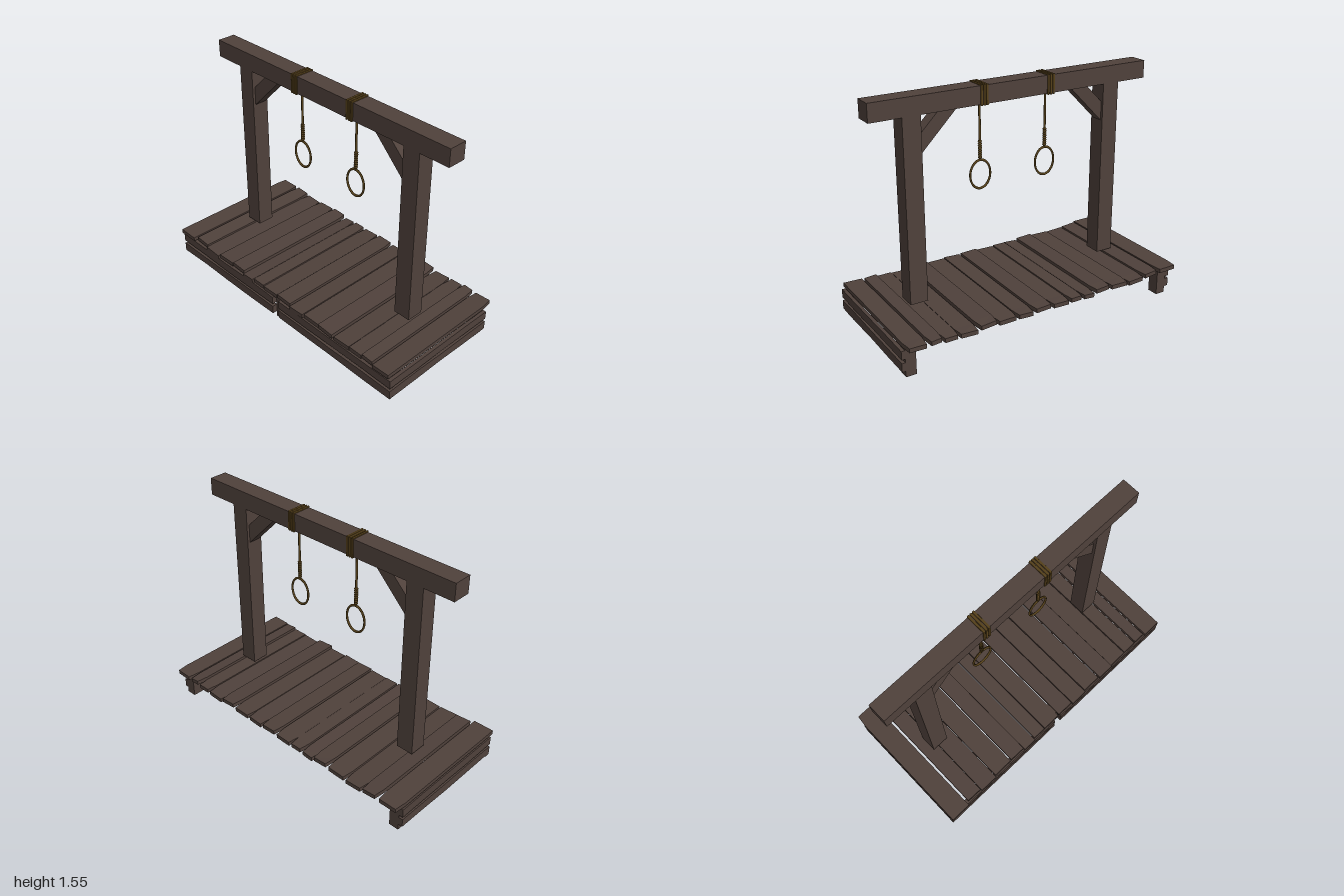
import * as THREE from 'three';

export function createModel() {
  const model = new THREE.Group();
  model.name = 'timberFrame';
  const wood = new THREE.MeshStandardMaterial({ color: 0x4f413b, flatShading: true });
  wood.name = 'dark wood';
  const rope = new THREE.MeshStandardMaterial({ color: 0x55401a });
  rope.name = 'rope brown';

  let seed = 7;
  const jitter = (a) => {
    seed = (seed * 16807) % 2147483647;
    return (seed / 2147483647 - 0.5) * 2 * a;
  };

  const add = (name, geo, mat = wood, parent = model) => {
    const mesh = new THREE.Mesh(geo, mat);
    mesh.name = name;
    parent.add(mesh);
    return mesh;
  };
  // Box given by its minimum and maximum on each axis
  const box = (name, x0, x1, y0, y1, z0, z1, parent = model) => {
    const g = new THREE.BoxGeometry(x1 - x0, y1 - y0, z1 - z0);
    g.translate((x0 + x1) / 2, (y0 + y1) / 2, (z0 + z1) / 2);
    return add(name, g, wood, parent);
  };
  const group = (name) => {
    const g = new THREE.Group();
    g.name = name;
    model.add(g);
    return g;
  };

  // Deck planks: left edge, right edge, front end, top height, sideways tilt
  const deck = group('deck');
  const planks = [
    [-1.0, -0.858, 0.48, 0.224, 0], [-0.842, -0.732, 0.457, 0.223, -0.004],
    [-0.728, -0.598, 0.468, 0.206, -0.003], [-0.594, -0.455, 0.457, 0.214, 0.002],
    [-0.447, -0.333, 0.457, 0.223, -0.003], [-0.329, -0.236, 0.468, 0.205, 0.003],
    [-0.229, -0.135, 0.457, 0.213, 0], [-0.13, -0.003, 0.457, 0.21, 0.002],
    [0.006, 0.126, 0.457, 0.219, -0.002], [0.133, 0.252, 0.468, 0.21, 0.003],
    [0.258, 0.39, 0.457, 0.212, 0], [0.396, 0.517, 0.468, 0.223, -0.004],
    [0.523, 0.652, 0.457, 0.205, 0.003], [0.657, 0.757, 0.457, 0.212, 0],
    [0.763, 0.845, 0.457, 0.223, -0.003], [0.858, 0.985, 0.468, 0.218, 0.002],
  ];
  planks.forEach(([x0, x1, z1, top, tilt]) => {
    const z0 = -0.482, w = x1 - x0, len = z1 - z0;
    const g = new THREE.BoxGeometry(w, 0.028, len, 1, 1, 12);
    const p = g.attributes.position;
    for (let i = 0; i < p.count; i++) {
      const s = Math.sign(p.getX(i));
      // narrow the rear tip
      if (p.getZ(i) < -len / 2 + 0.01) p.setX(i, s * (w / 2 - 0.009));
      p.setY(i, p.getY(i) + s * tilt);
    }
    g.translate((x0 + x1) / 2, top - 0.014, (z0 + z1) / 2);
    add('plank', g, wood, deck);
  });

  // Short legs under the deck
  const legs = group('legs');
  for (const [x, z] of [[-0.937, 0.39], [-0.937, -0.38], [0.943, 0.39], [0.943, -0.38], [-0.007, 0.39]]) {
    box('leg', x - 0.034, x + 0.034, 0, 0.205, z - 0.04, z + 0.04, legs);
  }

  // Slightly uneven skirt boards on the front and both ends
  const skirt = group('skirt');
  const board = (x0, x1, y0, y1, z0, z1) => {
    const w = x1 - x0, d = z1 - z0, alongX = w > d;
    const n = 4;
    const g = new THREE.BoxGeometry(w, y1 - y0, d, alongX ? n : 1, 1, alongX ? 1 : n);
    const shifts = Array.from({ length: 2 * (n + 1) }, () => jitter(0.004));
    const p = g.attributes.position;
    for (let i = 0; i < p.count; i++) {
      const t = alongX ? p.getX(i) / w : p.getZ(i) / d;
      const k = Math.round((t + 0.5) * n) + (p.getY(i) > 0 ? n + 1 : 0);
      p.setY(i, p.getY(i) + shifts[k]);
    }
    g.translate((x0 + x1) / 2, (y0 + y1) / 2, (z0 + z1) / 2);
    add('skirtBoard', g, wood, skirt);
  };
  for (const [y0, y1] of [[0.04, 0.099], [0.12, 0.179]]) {
    board(-1.0, -0.037, y0, y1, 0.43, 0.465);
    board(0.02, 1.0, y0, y1, 0.43, 0.465);
    board(-1.0, -0.971, y0, y1, -0.42, 0.43);
    board(0.977, 1.0, y0, y1, -0.42, 0.43);
  }

  // Uprights and top beam
  box('rightPost', -0.775, -0.657, 0.24, 1.426, -0.066, 0.05);
  box('leftPost', 0.645, 0.763, 0.24, 1.426, -0.066, 0.05);
  box('topBeam', -0.983, 0.97, 1.425, 1.54, -0.07, 0.053);

  // Diagonal braces, mirrored about the middle of the frame
  for (const s of [-1, 1]) {
    const x = (d) => -0.006 + s * d;
    const pts = [[0.652, 1.305], [0.652, 1.18], [0.407, 1.426], [0.53, 1.426]];
    const shape = new THREE.Shape(pts.map(([d, y]) => new THREE.Vector2(x(d), y)));
    const g = new THREE.ExtrudeGeometry(shape, { depth: 0.08, bevelEnabled: false });
    g.translate(0, 0, -0.048);
    add(s < 0 ? 'rightBrace' : 'leftBrace', g);
  }

  // Rope bindings, hanging ropes and loops
  for (const x of [-0.244, 0.229]) {
    const hanging = group('hangingRope');
    hanging.position.set(x, 0, -0.008);

    const outline = (w, h) => [[-w, -h], [w, -h], [w, h], [-w, h]].map(([a, b]) => new THREE.Vector2(a, b));
    for (const dx of [-0.019, 0, 0.019]) {
      const shape = new THREE.Shape(outline(0.064, 0.06));
      shape.holes.push(new THREE.Path(outline(0.06, 0.056)));
      const g = new THREE.ExtrudeGeometry(shape, {
        depth: 0.008, bevelThickness: 0.004, bevelSize: 0.004, bevelSegments: 2,
      });
      g.translate(0, 0, -0.004).rotateY(Math.PI / 2).translate(dx, 1.482, 0);
      add('beamBinding', g, rope, hanging);
    }

    const line = new THREE.CylinderGeometry(0.0075, 0.0075, 0.37, 10);
    line.translate(0, 1.25, 0);
    add('rope', line, rope, hanging);

    // Wound coil above the loop
    for (let i = 0; i < 8; i++) {
      const coil = new THREE.TorusGeometry(0.006, 0.0075, 6, 12);
      coil.rotateX(Math.PI / 2 + 0.15).translate(0, 1.078 + i * 0.0145, 0);
      add('coil', coil, rope, hanging);
    }

    const loop = new THREE.TorusGeometry(1, 0.09, 8, 40);
    loop.scale(0.071, 0.092, 0.085).translate(0, 0.968, 0);
    loop.computeVertexNormals();
    add('loop', loop, rope, hanging);
  }

  return model;
}
